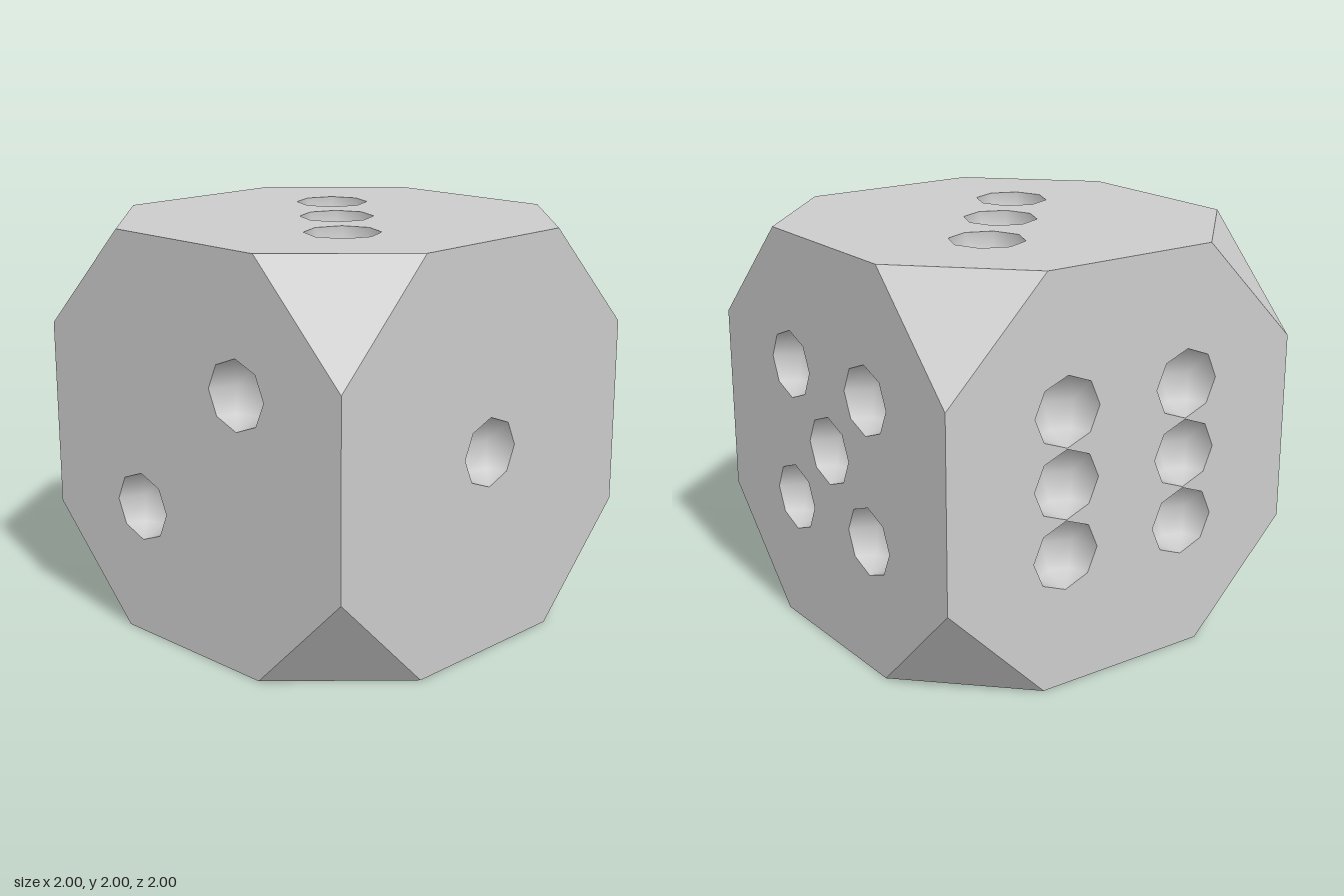
import * as THREE from 'three';

const CUT = 0.47;            // where each corner cut meets the cube edges
const RX = 0.182, RY = 0.17; // pip radii
const P = 0.345;             // usual pip offset from the face centre

// Inward-facing half ellipsoid, opening toward +z
function bowl(flat) {
  const g = flat
    ? new THREE.SphereGeometry(1, 8, 2, 0, Math.PI * 2, Math.PI / 2, Math.PI / 2).rotateX(Math.PI / 2)
    : new THREE.SphereGeometry(1, 4, 4, Math.PI, Math.PI);
  g.scale(RX, flat ? RX : RY, flat ? RY : RX);
  const idx = g.index.array;
  for (let i = 0; i < idx.length; i += 3) [idx[i], idx[i + 1]] = [idx[i + 1], idx[i]];
  const n = g.attributes.normal.array;
  for (let i = 0; i < n.length; i++) n[i] = -n[i];
  return g;
}

// Octagonal face with an eight-sided hole for each pip
function panel(pips, ry) {
  const outline = [[1, -CUT], [1, CUT], [CUT, 1], [-CUT, 1], [-1, CUT], [-1, -CUT], [-CUT, -1], [CUT, -1]];
  const shape = new THREE.Shape(outline.map(([x, y]) => new THREE.Vector2(x, y)));
  for (const [px, py] of pips) {
    const rim = [];
    for (let i = 0; i < 8; i++) {
      const a = -i * Math.PI / 4;
      rim.push(new THREE.Vector2(px + RX * Math.cos(a), py + ry * Math.sin(a)));
    }
    shape.holes.push(new THREE.Path(rim));
  }
  return new THREE.ShapeGeometry(shape).translate(0, 0, 1);
}

export function createModel() {
  const model = new THREE.Group();
  model.name = 'die';
  const mat = new THREE.MeshStandardMaterial({ color: 0xcccccc });
  const add = (parent, geo, name) => {
    const mesh = new THREE.Mesh(geo, mat);
    mesh.name = name;
    parent.add(mesh);
    return mesh;
  };

  // Six faces: rotation about x and y, then pip centres
  const H = Math.PI / 2;
  const faces = [
    ['front', 0, 0, [[P, P], [-P, -P]]],
    ['back', 0, Math.PI, [[P, P], [-P, P], [0, 0], [P, -P], [-P, -P]]],
    ['left', 0, H, [[0, 0]]],
    ['right', 0, -H, [[-0.35, P], [-0.35, 0], [-0.35, -P], [0.35, P], [0.35, 0], [0.35, -P]]],
    ['top', -H, 0, [[-0.355, 0.33], [0, 0], [0.355, -0.325]]],
    ['bottom', H, 0, [[0.335, 0.29], [-0.335, 0.29], [0.335, -0.29], [-0.335, -0.29]]],
  ];
  for (const [name, rx, ry, pips] of faces) {
    const face = new THREE.Group();
    face.name = name + 'Face';
    face.rotation.set(rx, ry, 0);
    face.position.y = 1;
    const flat = rx !== 0;
    add(face, panel(pips, flat ? RX : RY), name + 'Panel');
    const dish = bowl(flat);
    for (const [x, y] of pips) add(face, dish, name + 'Pip').position.set(x, y, 1);
    model.add(face);
  }

  // Eight triangular corner cuts
  for (const sx of [-1, 1]) for (const sy of [-1, 1]) for (const sz of [-1, 1]) {
    const a = [sx * CUT, sy, sz], b = [sx, sy * CUT, sz], c = [sx, sy, sz * CUT];
    const pts = sx * sy * sz > 0 ? [a, b, c] : [a, c, b];
    const g = new THREE.BufferGeometry();
    g.setAttribute('position', new THREE.Float32BufferAttribute(pts.flat(), 3));
    g.computeVertexNormals();
    // Keep the winding outward
    const n = g.attributes.normal;
    if (n.getX(0) * sx < 0) {
      g.setAttribute('position', new THREE.Float32BufferAttribute(pts.reverse().flat(), 3));
      g.computeVertexNormals();
    }
    add(model, g, 'cornerCut').position.y = 1;
  }
  return model;
}
